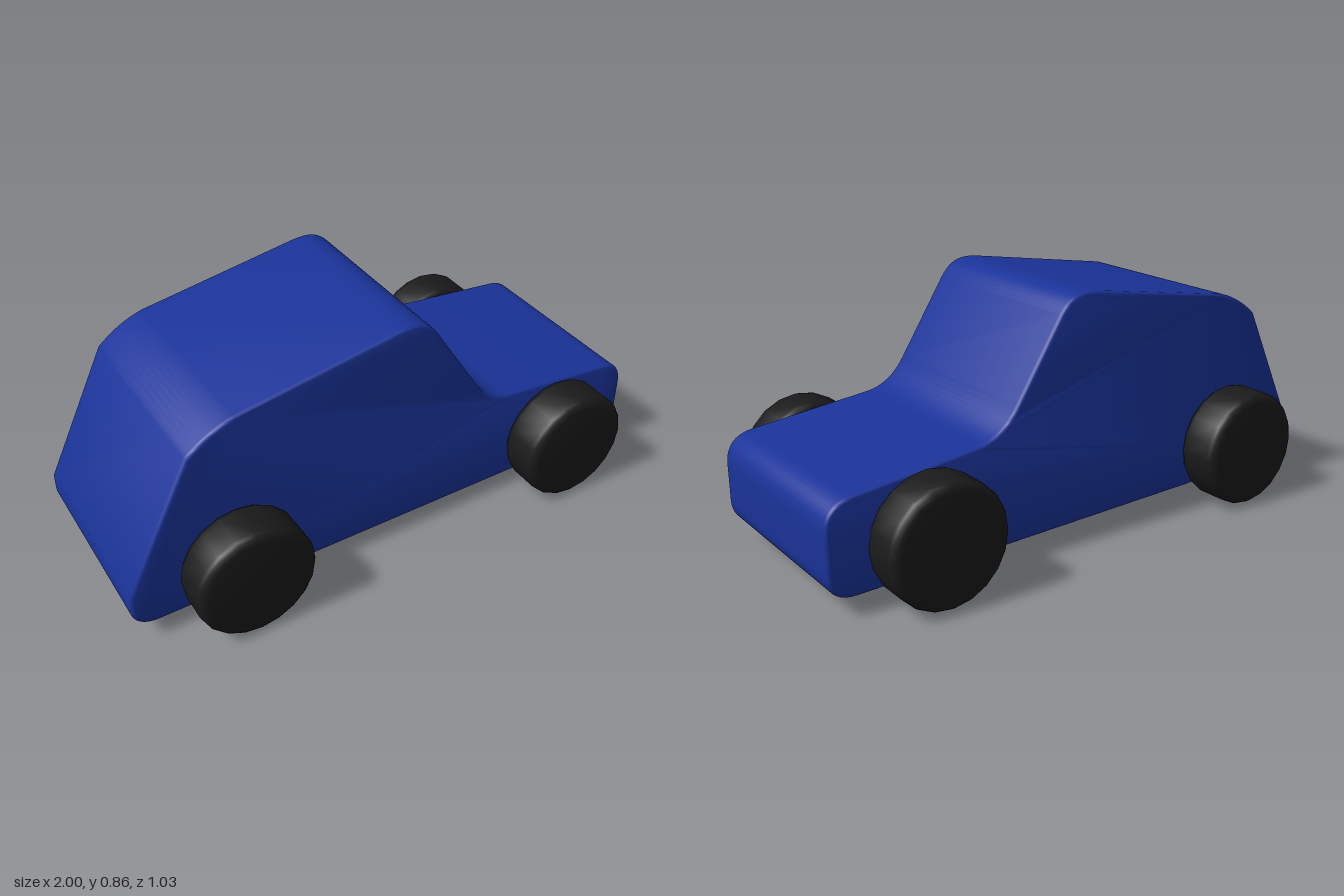
import * as THREE from 'three';
import { toCreasedNormals } from 'three/addons/utils/BufferGeometryUtils.js';

const HALF_WIDTH = 0.352, BEVEL = 0.014;
const WHEEL_R = 0.21, WHEEL_W = 0.165, WHEEL_ROUND = 0.032;

// Side profile of the car, extruded across its width with softened edges
function createBody() {
  const s = new THREE.Shape();
  s.moveTo(-0.91, 0.06);
  s.lineTo(0.9, 0.06);
  s.bezierCurveTo(0.965, 0.06, 1, 0.09, 1, 0.15); // front bumper
  s.lineTo(1, 0.28);
  s.bezierCurveTo(1, 0.345, 0.965, 0.38, 0.9, 0.386);
  s.lineTo(0.46, 0.428); // bonnet
  s.bezierCurveTo(0.39, 0.437, 0.345, 0.475, 0.31, 0.53);
  s.lineTo(0.135, 0.8); // windscreen
  s.bezierCurveTo(0.1, 0.85, 0.06, 0.867, -0.01, 0.857);
  s.lineTo(-0.6, 0.757); // roof
  s.quadraticCurveTo(-0.69, 0.733, -0.768, 0.664);
  s.lineTo(-1, 0.195); // sloping rear
  s.lineTo(-1, 0.14);
  s.bezierCurveTo(-1, 0.09, -0.965, 0.06, -0.91, 0.06);

  const depth = 2 * (HALF_WIDTH - BEVEL);
  const geo = new THREE.ExtrudeGeometry(s, {
    depth, curveSegments: 10,
    bevelEnabled: true, bevelSize: BEVEL, bevelThickness: BEVEL,
    bevelOffset: -BEVEL, bevelSegments: 4,
  });
  geo.translate(0, 0, -depth / 2);
  const body = new THREE.Mesh(
    toCreasedNormals(geo, 0.7),
    new THREE.MeshStandardMaterial({ color: 0x1a3399 })
  );
  body.name = 'body';
  return body;
}

// Solid wheel with rounded shoulders, axle along z
function createWheelGeometry() {
  const h = WHEEL_W / 2, r = WHEEL_ROUND, pts = [new THREE.Vector2(0, -h)];
  for (const side of [-1, 1]) {
    for (let i = 0; i <= 4; i++) {
      const a = side * (side < 0 ? 4 - i : i) * Math.PI / 8;
      pts.push(new THREE.Vector2(WHEEL_R - r + r * Math.cos(a), side * (h - r) + r * Math.sin(a)));
    }
  }
  pts.push(new THREE.Vector2(0, h));
  return toCreasedNormals(new THREE.LatheGeometry(pts, 20).rotateX(Math.PI / 2), 0.6);
}

export function createModel() {
  const car = new THREE.Group();
  car.name = 'car';
  car.add(createBody());

  const wheelGeo = createWheelGeometry();
  const rubber = new THREE.MeshStandardMaterial({ color: 0x1a1a1a });
  for (const [end, x] of [['rear', -0.625], ['front', 0.665]]) {
    for (const side of [1, -1]) {
      const wheel = new THREE.Mesh(wheelGeo, rubber);
      wheel.name = end + 'Wheel' + (side > 0 ? 'NearSide' : 'FarSide');
      wheel.position.set(x, WHEEL_R, side * (HALF_WIDTH + WHEEL_W / 2));
      car.add(wheel);
    }
  }
  return car;
}
